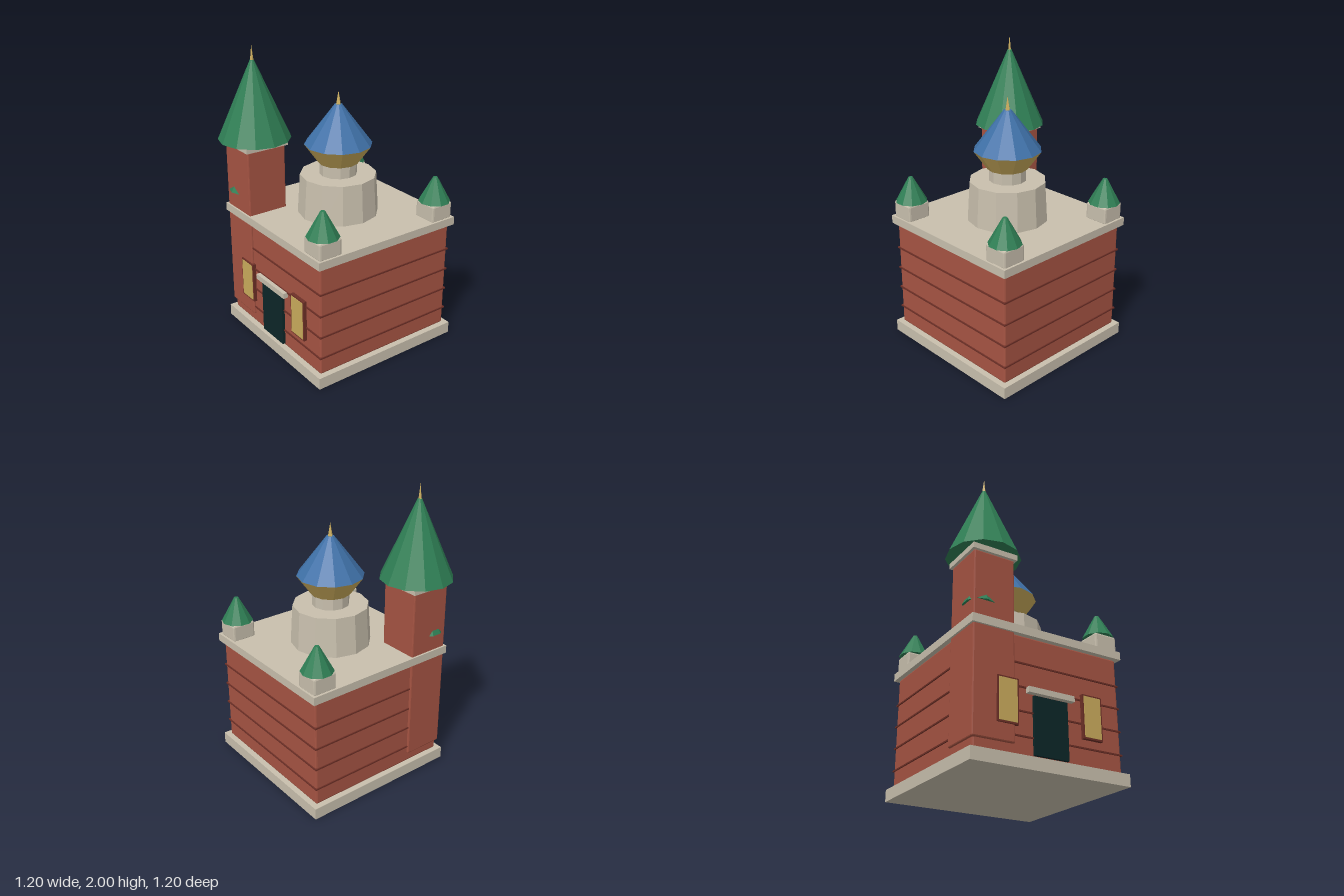
import * as THREE from 'three';
import { RoundedBoxGeometry } from 'three/addons/geometries/RoundedBoxGeometry.js';

const paint = (name, color) => {
  const m = new THREE.MeshStandardMaterial({ color, flatShading: true });
  m.name = name;
  return m;
};

export function createModel() {
  const model = new THREE.Group();
  model.name = 'castle';

  const stone = paint('stone', 0xc8bfad);
  const brick = paint('brick', 0xa65443);
  const darkBrick = paint('darkBrick', 0x6e3027);
  const green = paint('greenRoof', 0x2f7f55);
  const blue = paint('blueRoof', 0x3f71a8);
  const gold = paint('gold', 0xcbac5c);
  const doorDark = paint('doorDark', 0x0c2628);

  const add = (parent, name, geometry, material, x, y, z) => {
    const mesh = new THREE.Mesh(geometry, material);
    mesh.name = name;
    mesh.position.set(x, y, z);
    parent.add(mesh);
    return mesh;
  };
  // Box standing on y0, optionally with chamfered edges
  const box = (parent, name, mat, w, y0, y1, d, x, z, bevel = 0) => {
    const h = y1 - y0;
    const g = bevel ? new RoundedBoxGeometry(w, h, d, 1, bevel) : new THREE.BoxGeometry(w, h, d);
    return add(parent, name, g, mat, x, (y0 + y1) / 2, z);
  };
  // Faceted frustum between two heights
  const frustum = (parent, name, mat, rTop, rBottom, y0, y1, sides, x, z) =>
    add(parent, name, new THREE.CylinderGeometry(rTop, rBottom, y1 - y0, sides), mat, x, (y0 + y1) / 2, z);

  const CX = 0.0375, CZ = -0.0375; // centre of the keep

  // Keep: plinth, walls, thin brick courses and roof slab
  const keep = new THREE.Group();
  keep.name = 'keep';
  model.add(keep);
  box(keep, 'plinth', stone, 1.115, 0, 0.08, 1.115, CX, CZ);
  box(keep, 'walls', brick, 1.045, 0.08, 0.84, 1.045, CX, CZ, 0.01);
  for (const y of [0.2, 0.352, 0.504, 0.656]) {
    box(keep, 'brickCourse', darkBrick, 1.06, y - 0.005, y + 0.005, 1.06, CX, CZ);
  }
  box(keep, 'roofSlab', stone, 1.1, 0.84, 0.895, 1.1, CX, CZ);

  // Door with lintel
  box(keep, 'door', doorDark, 0.24, 0.095, 0.46, 0.03, 0.035, 0.49);
  box(keep, 'lintel', stone, 0.33, 0.47, 0.507, 0.05, 0.035, 0.495);

  // Windows on either side of the door
  for (const x of [-0.267, 0.338]) {
    box(keep, 'windowFrame', darkBrick, 0.145, 0.255, 0.54, 0.035, x, 0.491);
    box(keep, 'windowPane', gold, 0.124, 0.266, 0.53, 0.006, x, 0.509);
  }

  // Central drum with the two-tone dome
  const dome = new THREE.Group();
  dome.name = 'centralDome';
  model.add(dome);
  frustum(dome, 'drum', stone, 0.255, 0.272, 0.895, 1.165, 12, CX, CZ);
  frustum(dome, 'neck', stone, 0.125, 0.125, 1.165, 1.245, 12, CX, CZ);
  frustum(dome, 'domeBase', gold, 0.225, 0.135, 1.245, 1.37, 12, CX, CZ);
  frustum(dome, 'domeRoof', blue, 0.025, 0.225, 1.37, 1.635, 12, CX, CZ);
  frustum(dome, 'domeFinial', gold, 0, 0.019, 1.635, 1.725, 4, CX, CZ);

  // Tall corner tower
  const tower = new THREE.Group();
  tower.name = 'tower';
  model.add(tower);
  const TX = -0.357, TZ = 0.357;
  box(tower, 'towerShaft', brick, 0.285, 0.145, 1.34, 0.285, TX, TZ, 0.008);
  box(tower, 'towerCap', stone, 0.315, 1.34, 1.378, 0.315, TX, TZ);
  frustum(tower, 'towerRoof', green, 0.014, 0.243, 1.378, 1.9, 12, TX, TZ);
  frustum(tower, 'towerFinial', gold, 0, 0.013, 1.9, 2, 4, TX, TZ);

  // Small turrets on the four roof corners
  for (const sx of [-1, 1]) {
    for (const sz of [-1, 1]) {
      const turret = new THREE.Group();
      turret.name = 'turret';
      turret.position.set(CX + sx * 0.452, 0, CZ + sz * 0.452);
      model.add(turret);
      box(turret, 'turretBase', stone, 0.165, 0.885, 1.005, 0.165, 0, 0, 0.012);
      frustum(turret, 'turretRoof', green, 0.015, 0.106, 1.005, 1.172, 10, 0, 0);
    }
  }

  return model;
}
